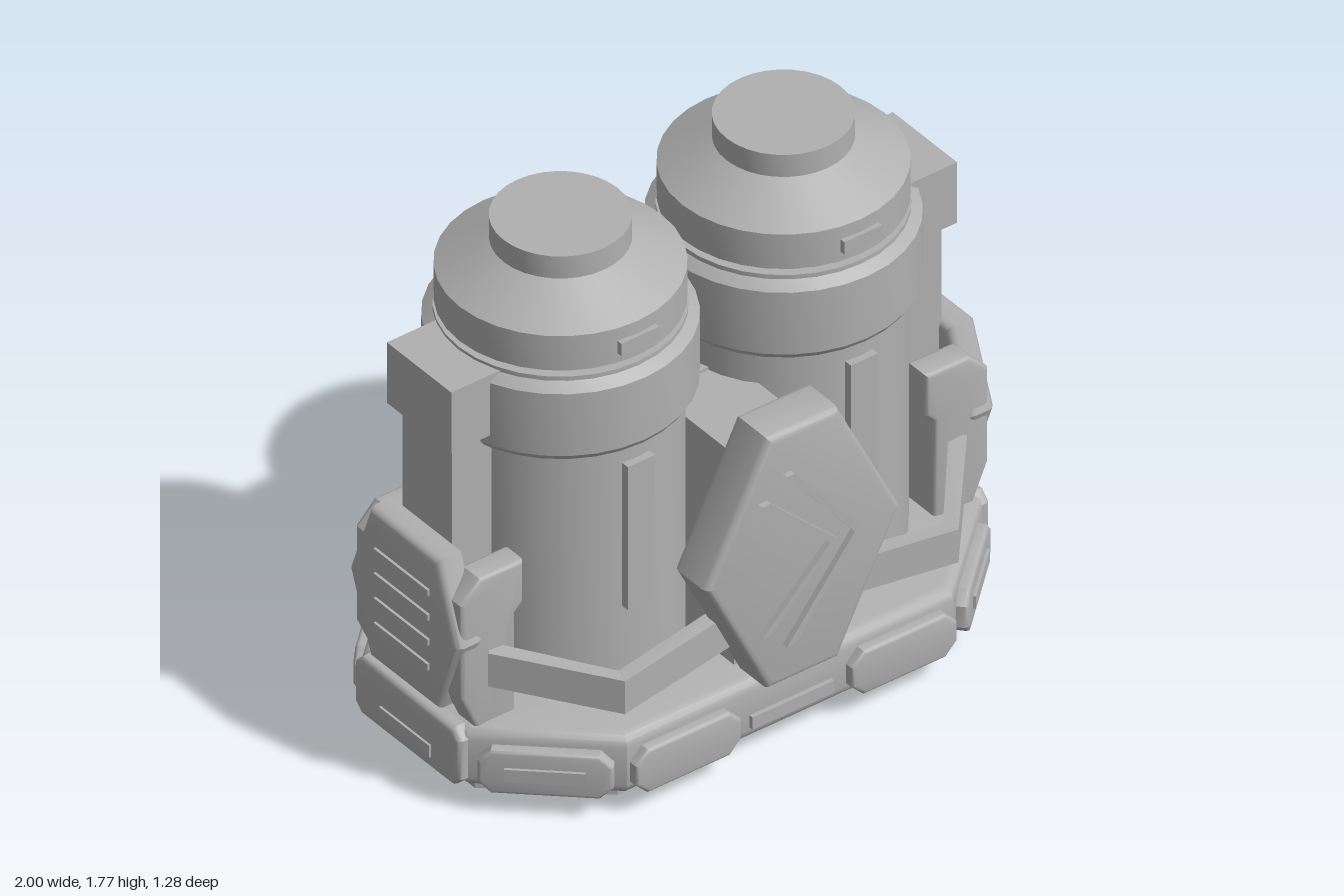
import * as THREE from 'three';
import { toCreasedNormals } from 'three/addons/utils/BufferGeometryUtils.js';

const grey = new THREE.MeshStandardMaterial({ color: 0xb0b0b0 });
grey.name = 'plain grey';

export function createModel() {
  const model = new THREE.Group();
  model.name = 'twinTankModule';
  // The body is symmetric about a plane slightly behind the origin
  const body = new THREE.Group();
  body.name = 'body';
  body.position.z = -0.018;
  model.add(body);

  const add = (name, geo, x = 0, y = 0, z = 0, turn = 0) => {
    const mesh = new THREE.Mesh(geo, grey);
    mesh.name = name;
    mesh.position.set(x, y, z);
    mesh.rotation.y = turn;
    body.add(mesh);
    return mesh;
  };

  // Box given by its limits on each axis
  const box = (name, x0, x1, y0, y1, z0, z1) =>
    add(name, new THREE.BoxGeometry(Math.abs(x1 - x0), y1 - y0, Math.abs(z1 - z0)),
      (x0 + x1) / 2, (y0 + y1) / 2, (z0 + z1) / 2);

  // Extruded outline with rounded rims; the outline keeps its full size
  const slab = (pts, depth, bevel = 0) => {
    const shape = new THREE.Shape(pts.map(([x, y]) => new THREE.Vector2(x, y)));
    const geo = new THREE.ExtrudeGeometry(shape, {
      depth: depth - 2 * bevel, bevelEnabled: bevel > 0, bevelThickness: bevel,
      bevelSize: bevel, bevelOffset: -bevel, bevelSegments: 3,
    });
    geo.translate(0, 0, bevel);
    return toCreasedNormals(geo, 0.6);
  };

  const rect = (w, h) => [[-w, -h], [w, -h], [w, h], [-w, h]];
  const octagon = (x, z, cx, cz) => [[cx, -z], [x, -cz], [x, cz], [cx, z],
    [-cx, z], [-x, cz], [-x, -cz], [-cx, -z]];
  const hexTall = (w, h, top) => [[-top, -h], [top, -h], [w, 0], [top, h], [-top, h], [-w, 0]];

  // ---- Base ----
  const flat = (name, pts, y, height, bevel) => {
    const geo = slab(pts, height, bevel);
    geo.rotateX(-Math.PI / 2);
    add(name, geo, 0, y, 0);
  };
  flat('plinth', octagon(0.87, 0.47, 0.56, 0.19), 0, 0.1, 0);
  flat('baseRing', octagon(0.95, 0.57, 0.6, 0.25), 0.07, 0.215, 0.04);

  for (const sz of [1, -1]) {
    const turn = sz > 0 ? 0 : Math.PI;
    for (const sx of [1, -1]) {
      // Long face panels
      add('basePanel', slab(octagon(0.193, 0.078, 0.15, 0.035), 0.06, 0.012),
        sx * 0.397, 0.157, sz * 0.545, turn);
      // Corner panels with a small inset plate
      const nx = sx * 0.68, nz = sz * 0.733, a = Math.atan2(nx, nz);
      const cx = sx * 0.775, cz = sz * 0.41;
      add('cornerPanel', slab(octagon(0.2, 0.078, 0.16, 0.038), 0.06, 0.012),
        cx - nx * 0.025, 0.157, cz - nz * 0.025, a);
      add('cornerPlate', slab(rect(0.12, 0.022), 0.03), cx + nx * 0.015, 0.155, cz + nz * 0.015, a);
    }
    add('basePlate', slab(rect(0.15, 0.022), 0.035), 0, 0.142, sz * 0.55, turn);
  }

  // ---- Tanks ----
  const profile = [[0, 0.25], [0.367, 0.25], [0.367, 1.17], [0.395, 1.17], [0.408, 1.19], [0.408, 1.415],
    [0.375, 1.44], [0.375, 1.455], [0.345, 1.455], [0.345, 1.475], [0.372, 1.475], [0.372, 1.6],
    [0.21, 1.69], [0.21, 1.77], [0, 1.77]].map(([r, y]) => new THREE.Vector2(r, y));
  const tank = toCreasedNormals(new THREE.LatheGeometry(profile, 32), 0.4);
  for (const sx of [1, -1]) {
    add('tank', tank, sx * 0.41);
    for (const sz of [1, -1]) {
      box('bandTab', sx * 0.34, sx * 0.48, 1.51, 1.555, sz * 0.33, sz * 0.385);
      box('tankStrip', sx * 0.36, sx * 0.46, 0.58, 1.1, sz * 0.33, sz * 0.39);
    }
  }

  // ---- Side columns, brackets and hexagonal guards ----
  for (const sx of [1, -1]) {
    const turn = sx * Math.PI / 2;
    box('sideColumn', sx * 0.6, sx * 0.9, 0.25, 1.3, -0.12, 0.12);
    box('columnHead', sx * 0.6, sx * 0.93, 1.225, 1.445, -0.155, 0.155);
    box('guardBacking', sx * 0.77, sx * 0.9, 0.25, 0.74, -0.18, 0.18);
    for (const sz of [1, -1]) {
      // Stepped bracket, outline drawn across x and y
      const outline = [[0.77, 0.24], [0.9, 0.24], [0.97, 0.4], [0.97, 0.74], [0.9, 0.81],
        [0.74, 0.81], [0.74, 0.66], [0.77, 0.63]].map(([x, y]) => [sx * x, y]);
      add('bracket', slab(outline, 0.095, 0.015), 0, 0, sz * 0.21 - 0.0475);
    }
    add('sideGuard', slab(hexTall(0.265, 0.272, 0.165), 0.1, 0.025), sx * 0.89, 0.593, 0, turn);
    for (let i = 0; i < 4; i++)
      add('sideGuardStripe', slab(rect(0.13, 0.011), 0.02), sx * 0.979, 0.46 + i * 0.09, 0, turn);
    // Raised panel on the end of the base
    add('basePanel', slab(octagon(0.255, 0.105, 0.22, 0.07), 0.06, 0.02), sx * 0.918, 0.178, 0, turn);
    add('basePlate', slab(rect(0.12, 0.022), 0.02), sx * 0.966, 0.142, 0, turn);
  }

  // ---- Front guard and its mount ----
  box('frontMount', -0.135, 0.135, 0.25, 1.05, 0.1, 0.475);
  add('frontGuard', slab(hexTall(0.357, 0.455, 0.13), 0.165, 0.025), 0, 0.74, 0.473);
  const chevron = (x, h, w) => [[x, 0], [x - 0.25, h], [x - 0.25 - w, h], [x - w, 0],
    [x - 0.25 - w, -h], [x - 0.25, -h]];
  add('frontGuardChevron', slab(chevron(0.2, 0.31, 0.03), 0.03), 0, 0.74, 0.628);
  add('frontGuardChevron', slab(chevron(0.11, 0.24, 0.03), 0.03), 0, 0.74, 0.628);

  // ---- Rear guard and pipe stack ----
  box('rearMount', -0.13, 0.13, 0.25, 0.5, -0.47, -0.1);
  add('rearGuard', slab(hexTall(0.4, 0.19, 0.25), 0.15, 0.025), 0, 0.413, -0.462, Math.PI);
  [[0, 0.2], [-0.03, 0.14], [0.04, 0.12]].forEach(([x, w], i) =>
    add('rearGuardStripe', slab(rect(w, 0.011), 0.025), x, 0.5 - i * 0.085, -0.6, Math.PI));
  box('pipeHead', -0.165, 0.165, 1.05, 1.18, -0.46, -0.32);
  box('pipeBacking', -0.13, 0.13, 0.25, 1.06, -0.35, 0.1);
  for (const x of [-0.105, 0, 0.105])
    box('rearPipe', x - 0.033, x + 0.033, 0.25, 1.06, -0.44, -0.34);

  // ---- Bent rails around the corners ----
  const up = new THREE.Vector3(0, 1, 0);
  const rail = (pts) => {
    const geo = new THREE.BoxGeometry(2, 0.12, 0.055, 2, 1, 1).toNonIndexed();
    const p = geo.attributes.position;
    for (let i = 0; i < p.count; i++) {
      const k = Math.round(p.getX(i)) + 1;
      const dir = pts[Math.min(k + 1, 2)].clone().sub(pts[Math.max(k - 1, 0)]).setY(0).normalize();
      const v = dir.cross(up).multiplyScalar(p.getZ(i)).add(pts[k]);
      p.setXYZ(i, v.x, v.y + p.getY(i), v.z);
    }
    geo.computeVertexNormals();
    add('rail', geo);
  };
  for (const sx of [1, -1])
    for (const sz of [1, -1])
      rail([[0.86, 0.48, 0.25], [0.605, 0.44, 0.55], [0.12, 0.468, 0.49]]
        .map(([x, y, z]) => new THREE.Vector3(sx * x, y, sz * z)));

  // Fix face order on mirrored outlines is handled by the shapes themselves
  return model;
}
